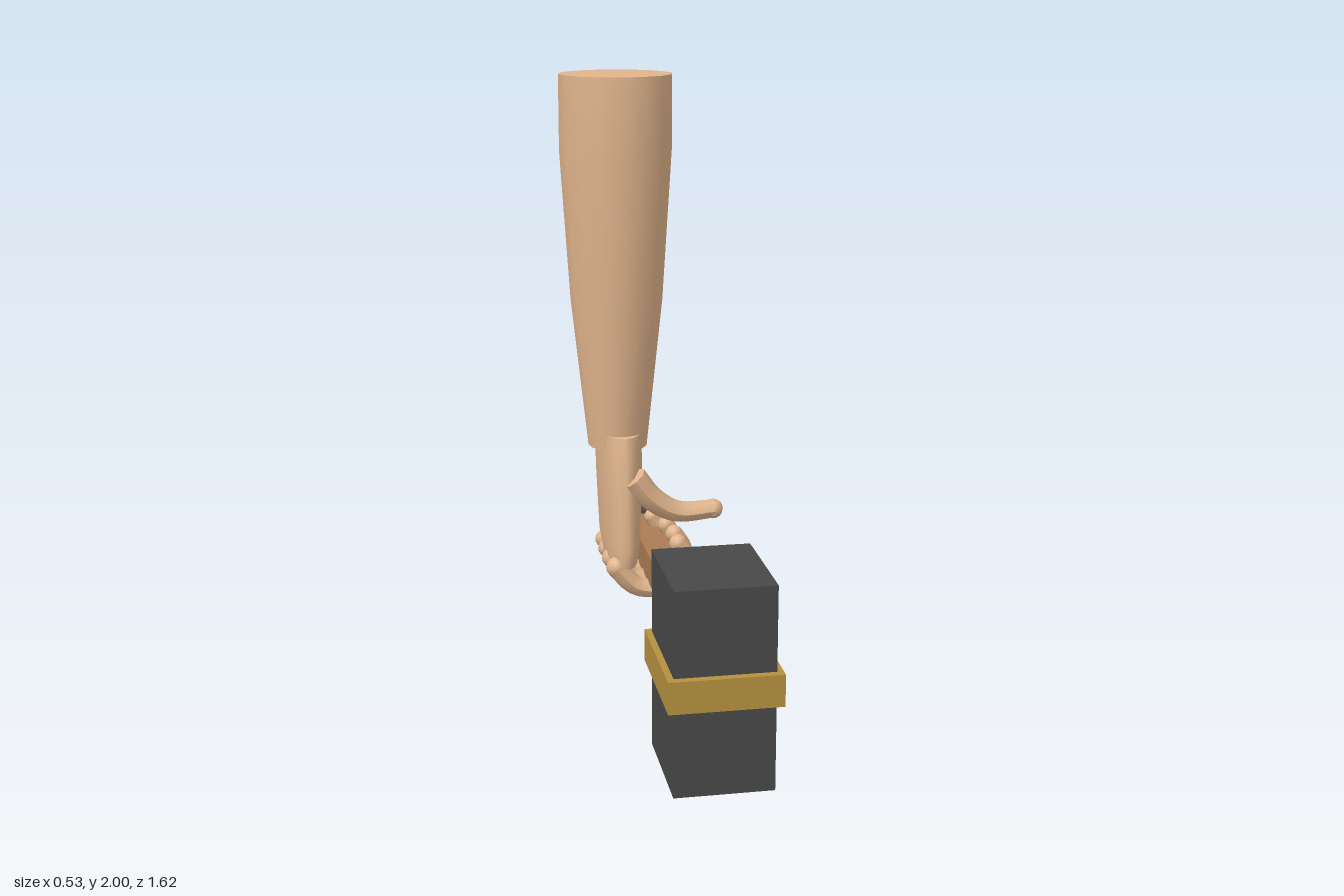
import * as THREE from 'three';

const mat = (name, color) => {
  const m = new THREE.MeshStandardMaterial({ color });
  m.name = name;
  return m;
};

export function createModel() {
  const skin = mat('skin', 0xe0b48c);
  const wood = mat('wood', 0xa97c55);
  const brass = mat('brass', 0xb5903e);
  const iron = mat('iron', 0x484848);
  const model = new THREE.Group();
  model.name = 'armWithHammer';

  const add = (name, geometry, material, x = 0, y = 0, z = 0, parent = model) => {
    const mesh = new THREE.Mesh(geometry, material);
    mesh.name = name;
    mesh.position.set(x, y, z);
    parent.add(mesh);
    return mesh;
  };

  // Box given by its limits on each axis
  const box = (name, material, [x0, x1], [y0, y1], [z0, z1]) =>
    add(name, new THREE.BoxGeometry(x1 - x0, y1 - y0, z1 - z0), material,
      (x0 + x1) / 2, (y0 + y1) / 2, (z0 + z1) / 2);

  // Hammer
  box('hammerHead', iron, [-0.105, 0.2], [0, 0.64], [0.415, 0.785]);
  box('hammerBand', brass, [-0.125, 0.22], [0.275, 0.375], [0.395, 0.81]);
  box('hammerHandle', wood, [0, 0.1], [0.275, 0.375], [-0.73, 0.41]);
  box('handleCap', iron, [-0.01, 0.11], [0.265, 0.385], [-0.805, -0.725]);

  // Solid of stacked ellipses, each ring [y, centre x, half width x, half width z], bottom to top
  const loft = (name, rings, sides, z) => {
    const group = new THREE.Group();
    group.name = name;
    const pos = [], index = [];
    rings.forEach(([y, cx, rx, rz], j) => {
      for (let i = 0; i < sides; i++) {
        const a = (i / sides) * Math.PI * 2;
        pos.push(cx + Math.sin(a) * rx, y, Math.cos(a) * rz);
        if (j === 0) continue;
        const n = (i + 1) % sides, low = (j - 1) * sides, high = j * sides;
        index.push(low + i, low + n, high + n, low + i, high + n, high + i);
      }
    });
    const side = new THREE.BufferGeometry();
    side.setAttribute('position', new THREE.Float32BufferAttribute(pos, 3));
    side.setIndex(index);
    side.computeVertexNormals();
    add(name + 'Side', side, skin, 0, 0, 0, group);
    // Flat ends
    [rings[0], rings[rings.length - 1]].forEach(([y, cx, rx, rz], k) => {
      const cap = new THREE.CircleGeometry(1, sides, Math.PI / 2)
        .scale(rx, rz, 1).rotateX(k ? -Math.PI / 2 : Math.PI / 2);
      add(name + (k ? 'Top' : 'Bottom'), cap, skin, cx, y, 0, group);
    });
    group.position.z = z;
    model.add(group);
  };

  loft('forearm', [
    [0.735, -0.08, 0.102, 0.122],
    [1.25, -0.08, 0.158, 0.17],
    [1.75, -0.08, 0.19, 0.197],
    [2, -0.08, 0.19, 0.19],
  ], 16, -0.435);

  loft('palm', [
    [0.34, -0.075, 0.055, 0.205],
    [0.41, -0.075, 0.065, 0.218],
    [0.65, -0.077, 0.076, 0.188],
    [0.79, -0.077, 0.078, 0.155],
  ], 16, -0.435);

  // Tapering digit with a flat root and a round tip
  const digit = (name, points, r0, r1) => {
    const group = new THREE.Group();
    group.name = name;
    const steps = 18, sides = 8;
    const curve = new THREE.CatmullRomCurve3(points.map((p) => new THREE.Vector3(...p)));
    const tube = new THREE.TubeGeometry(curve, steps, 1, sides);
    const p = tube.attributes.position, v = new THREE.Vector3();
    for (let i = 0; i < p.count; i++) {
      const t = Math.floor(i / (sides + 1)) / steps;
      const c = curve.getPointAt(t);
      v.fromBufferAttribute(p, i).sub(c).multiplyScalar(r0 + (r1 - r0) * t).add(c);
      p.setXYZ(i, v.x, v.y, v.z);
    }
    tube.computeVertexNormals();
    add(name + 'Body', tube, skin, 0, 0, 0, group);
    const root = curve.getPointAt(0), tip = curve.getPointAt(1);
    const disc = add(name + 'Root', new THREE.CircleGeometry(r0, sides), skin, ...root.toArray(), group);
    disc.lookAt(root.clone().sub(curve.getTangentAt(0)));
    add(name + 'Tip', new THREE.SphereGeometry(r1, 10, 8), skin, ...tip.toArray(), group);
    model.add(group);
  };

  digit('thumb', [
    [-0.05, 0.655, -0.27], [0.01, 0.58, -0.275], [0.1, 0.525, -0.283], [0.23, 0.525, -0.287],
  ], 0.046, 0.034);

  // Fingers curling under the handle, with a knuckle at each root: [z, reach, radius]
  [[-0.28, 0.14, 0.036], [-0.38, 0.145, 0.036], [-0.485, 0.135, 0.035], [-0.587, 0.1, 0.031]]
    .forEach(([z, reach, r], i) => {
      digit('finger' + (i + 1), [
        [-0.11, 0.335, z], [-0.04, 0.262, z], [0.05, 0.25, z],
        [reach - 0.02, 0.268, z], [reach, 0.345, z], [reach - 0.035, 0.41, z],
      ], r, r * 0.85);
      add('knuckle' + (i + 1), new THREE.SphereGeometry(r, 10, 8), skin, -0.11, 0.335, z);
    });

  return model;
}
